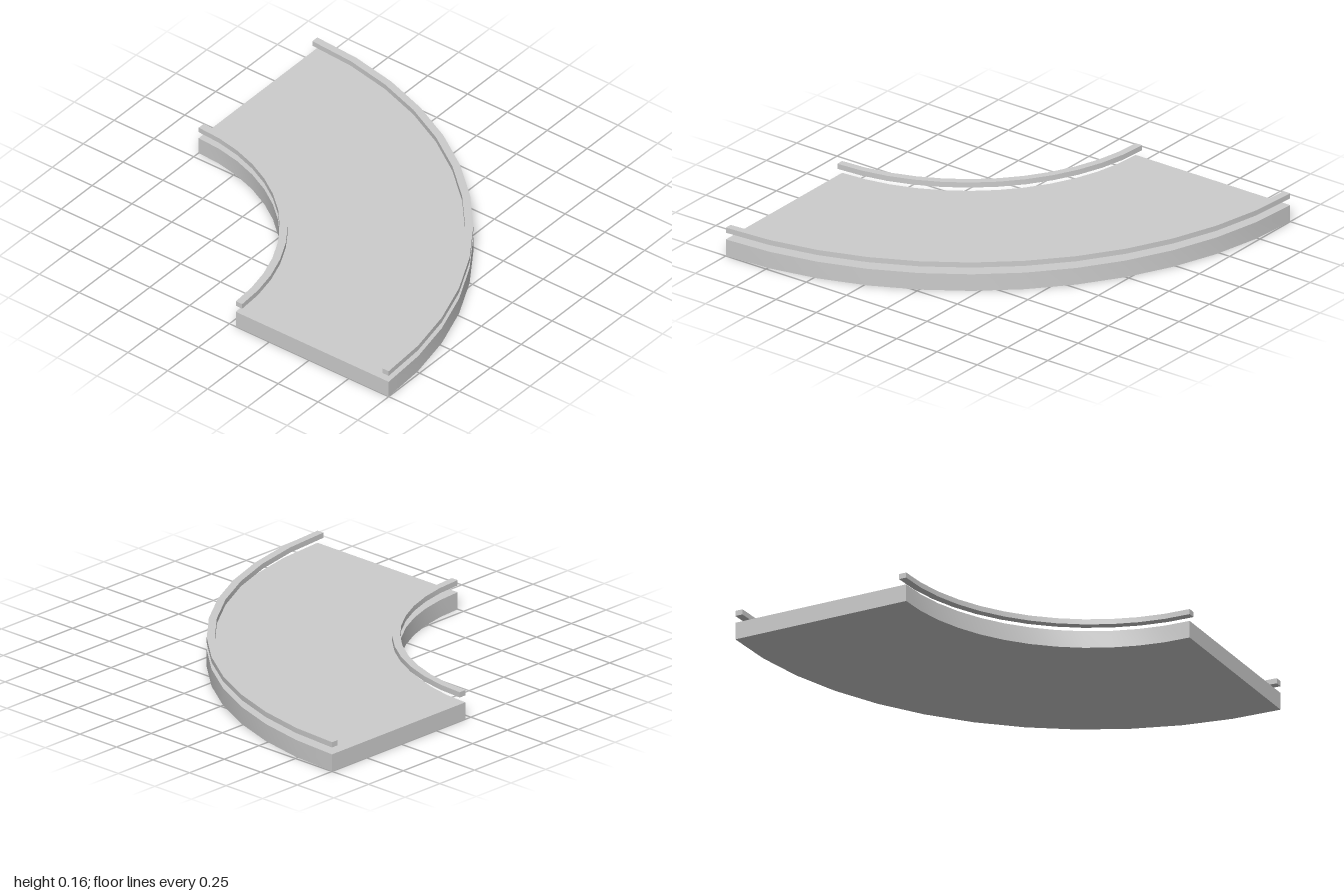
import * as THREE from 'three';
import { toCreasedNormals } from 'three/addons/utils/BufferGeometryUtils.js';

const material = new THREE.MeshStandardMaterial({ color: 0xcccccc });

// Quarter-ring slab around the corner (-1, -1), twelve segments per arc
function quarterRing(name, inner, outer, bottom, top) {
  const shape = new THREE.Shape();
  shape.absarc(-1, -1, outer, 0, Math.PI / 2, false);
  shape.absarc(-1, -1, inner, Math.PI / 2, 0, true);
  const geometry = new THREE.ExtrudeGeometry(shape, {
    depth: top - bottom,
    bevelEnabled: false,
    curveSegments: 6, // an arc gets two divisions per curve segment
  });
  geometry.rotateX(Math.PI / 2); // shape y becomes z, depth runs downwards
  geometry.translate(0, top, 0);
  const mesh = new THREE.Mesh(toCreasedNormals(geometry, Math.PI / 6), material);
  mesh.name = name;
  return mesh;
}

export function createModel() {
  const group = new THREE.Group();
  group.name = 'curvedTrack';

  const innerRadius = 1.04, outerRadius = 2, railWidth = 0.04;
  const railBottom = 0.128, railTop = 0.156;

  // Flat curved bed
  group.add(quarterRing('bed', innerRadius, outerRadius, 0, 0.091));

  // Guide rails floating above both curved edges
  group.add(quarterRing('innerRail', innerRadius, innerRadius + railWidth, railBottom, railTop));
  group.add(quarterRing('outerRail', outerRadius - railWidth, outerRadius, railBottom, railTop));

  return group;
}
